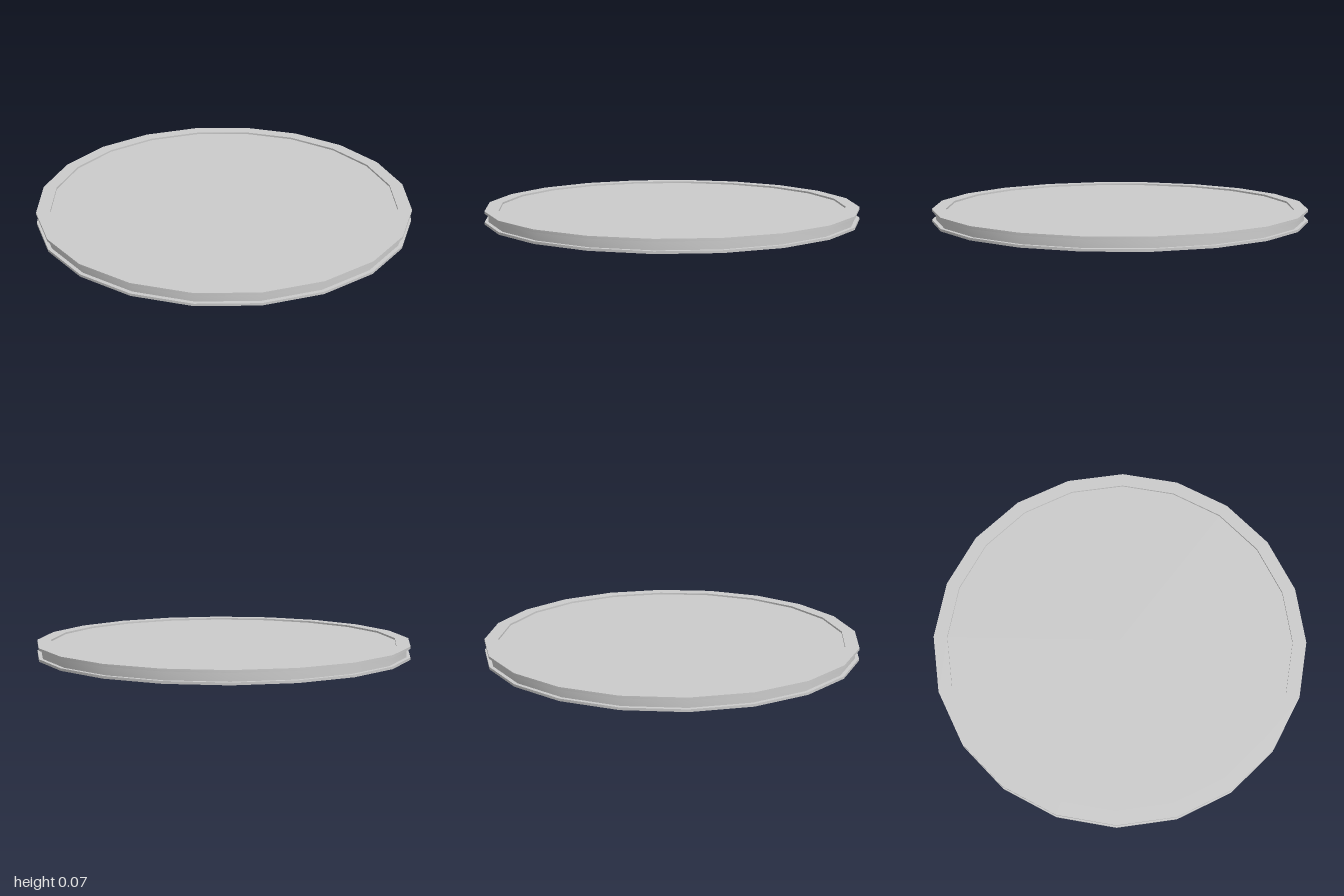
import * as THREE from 'three';
import { toCreasedNormals } from 'three/addons/utils/BufferGeometryUtils.js';

const SIDES = 20;
const HEIGHT = 0.07;
const LIP = 0.013;      // thickness of each rim flange
const RECESS = 0.01;    // depth of the sunken faces
const RIM = 1, GROOVE = 0.98, PANEL = 0.927;

export function createModel() {
  const group = new THREE.Group();
  const material = new THREE.MeshStandardMaterial({ color: 0xcccccc });

  // Revolve a profile, smooth around the circle and sharp across the profile
  const revolve = (name, profile) => {
    const points = profile.map(([r, y]) => new THREE.Vector2(r, y));
    const geometry = toCreasedNormals(new THREE.LatheGeometry(points, SIDES), 0.5);
    const mesh = new THREE.Mesh(geometry, material);
    mesh.name = name;
    group.add(mesh);
  };

  // Double-flanged rim with a groove running around its outside
  revolve('rim', [
    [PANEL, RECESS], [PANEL, 0], [RIM, 0], [RIM, LIP], [GROOVE, LIP],
    [GROOVE, HEIGHT - LIP], [RIM, HEIGHT - LIP], [RIM, HEIGHT],
    [PANEL, HEIGHT], [PANEL, HEIGHT - RECESS],
  ]);

  // Sunken faces above and below
  const addPanel = (name, y, tilt) => {
    const geometry = new THREE.CircleGeometry(PANEL, SIDES).rotateX(tilt);
    const mesh = new THREE.Mesh(geometry, material);
    mesh.name = name;
    mesh.position.y = y;
    group.add(mesh);
  };
  addPanel('topPanel', HEIGHT - RECESS, -Math.PI / 2);
  addPanel('bottomPanel', RECESS, Math.PI / 2);

  return group;
}
